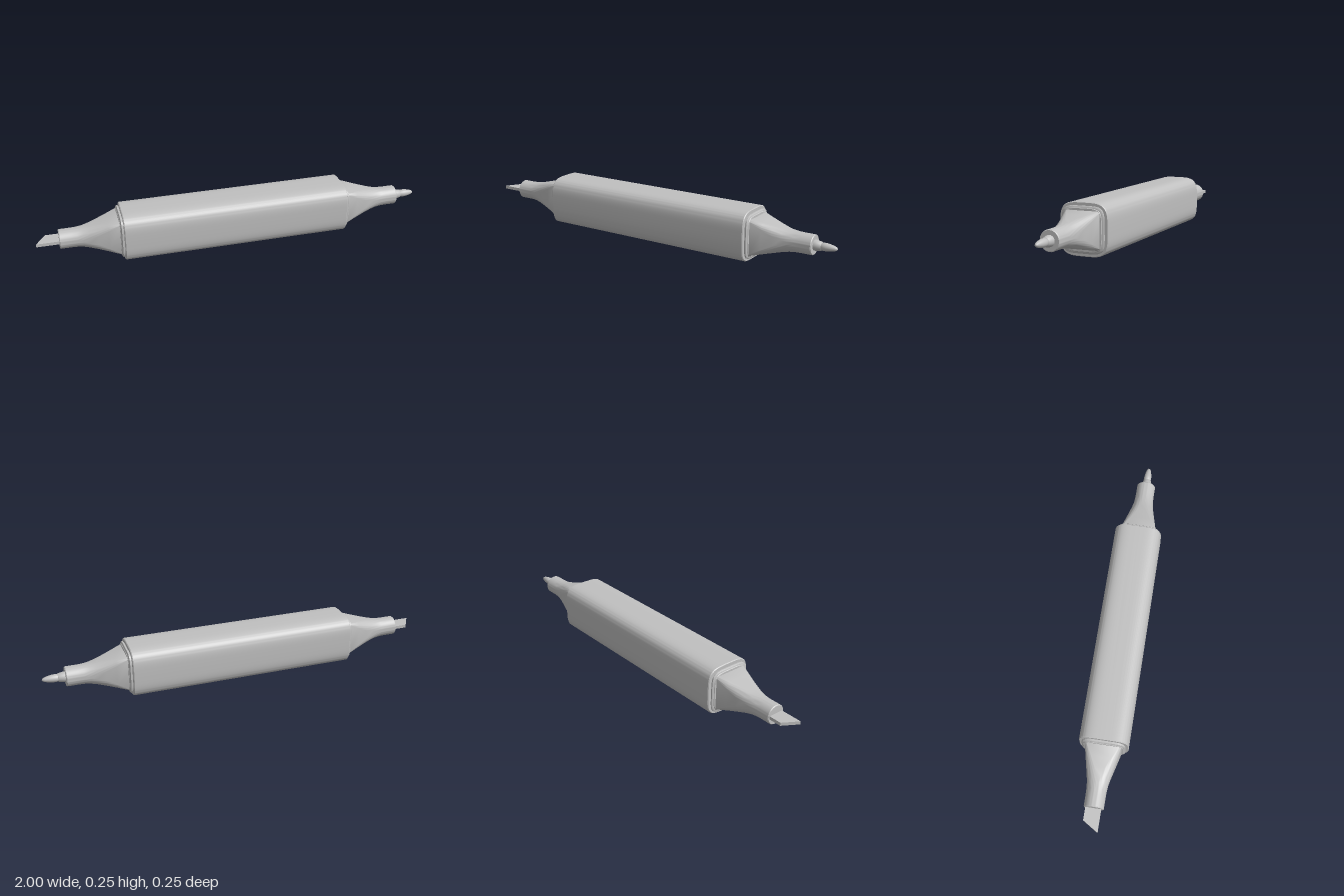
import * as THREE from 'three';
import { toCreasedNormals } from 'three/addons/utils/BufferGeometryUtils.js';

const CENTRE_Y = 0.128;

// Closed [y, z] loops that run anticlockwise about +x
function superellipse(hy, hz, n, count = 72) {
  const pow = v => Math.sign(v) * Math.abs(v) ** (2 / n);
  return Array.from({ length: count }, (_, i) => {
    const t = (i / count) * Math.PI * 2;
    return [hy * pow(Math.cos(t)), hz * pow(Math.sin(t))];
  });
}

function roundedSquare(h, r, perCorner = 12) {
  const loop = [];
  for (let c = 0; c < 4; c++) {
    const mid = Math.PI / 4 + (c * Math.PI) / 2;
    const cy = Math.sign(Math.cos(mid)) * (h - r);
    const cz = Math.sign(Math.sin(mid)) * (h - r);
    for (let k = 0; k <= perCorner; k++) {
      const t = (c + k / perCorner) * Math.PI / 2;
      loop.push([cy + r * Math.cos(t), cz + r * Math.sin(t)]);
    }
  }
  return loop;
}

// Skin over cross-sections along x, closed at both ends
function loft(sections) {
  const pos = [], index = [], n = sections[0].loop.length;
  for (const { x, loop } of sections) for (const [y, z] of loop) pos.push(x, y, z);
  for (let i = 0; i < sections.length - 1; i++) {
    for (let j = 0; j < n; j++) {
      const a = i * n + j, b = i * n + (j + 1) % n;
      index.push(a, b, a + n, b, b + n, a + n);
    }
  }
  const last = sections.length - 1, start = pos.length / 3;
  pos.push(sections[0].x, 0, 0, sections[last].x, 0, 0);
  for (let j = 0; j < n; j++) {
    const k = (j + 1) % n;
    index.push(start, k, j, start + 1, last * n + j, last * n + k);
  }
  const g = new THREE.BufferGeometry();
  g.setAttribute('position', new THREE.Float32BufferAttribute(pos, 3));
  g.setIndex(index);
  return toCreasedNormals(g, 0.6);
}

export function createModel() {
  const group = new THREE.Group();
  const plastic = new THREE.MeshStandardMaterial({ color: 0xc0c0c0 });
  plastic.name = 'grey plastic';

  const add = (parent, name, geometry) => {
    const mesh = new THREE.Mesh(geometry, plastic);
    mesh.name = name;
    parent.add(mesh);
    return mesh;
  };

  const marker = new THREE.Group();
  marker.name = 'marker';
  marker.position.y = CENTRE_Y;
  group.add(marker);

  // Barrel with a tiny rounded edge at each end
  const barrel = [[-0.578, 0.123], [-0.574, 0.126], [0.574, 0.126], [0.578, 0.123]];
  add(marker, 'barrel', loft(barrel.map(([x, h]) => ({ x, loop: superellipse(h, h - 0.003, 4) }))));

  // Stepped collar and tapering neck, the same at both ends
  const collar = [[0.57, 0.105], [0.581, 0.105], [0.582, 0.110], [0.588, 0.110], [0.591, 0.106], [0.592, 0.101], [0.595, 0.099]];
  const neck = [[0.58, 0.089], [0.597, 0.089], [0.65, 0.078], [0.7, 0.067], [0.74, 0.058], [0.77, 0.0525], [0.8, 0.05], [0.83, 0.049], [0.884, 0.049], [0.888, 0.046]];
  for (const side of [1, -1]) {
    const end = new THREE.Group();
    end.name = side > 0 ? 'bulletEnd' : 'chiselEnd';
    if (side < 0) end.rotation.y = Math.PI;
    marker.add(end);
    add(end, 'collar', loft(collar.map(([x, h]) => ({ x, loop: superellipse(h, h - 0.002, 5) }))));
    add(end, 'neck', loft(neck.map(([x, h]) => {
      // corner radius grows until the square becomes a circle
      const t = THREE.MathUtils.clamp((x - 0.597) / 0.2, 0, 1);
      return { x, loop: roundedSquare(h, THREE.MathUtils.lerp(0.016, h * 0.995, t)) };
    })));
  }

  // Bullet nib: short holder and a rounded point
  const holder = [[0.026, 0.88], [0.026, 0.895], [0.021, 0.922], [0.014, 0.924]];
  const point = [[0.014, 0.915], [0.019, 0.928], [0.0195, 0.945], [0.017, 0.965], [0.012, 0.985], [0.007, 0.996], [0, 1]];
  for (const [name, profile] of [['nibHolder', holder], ['bulletNib', point]]) {
    const g = new THREE.LatheGeometry(profile.map(p => new THREE.Vector2(...p)), 32);
    g.rotateZ(-Math.PI / 2);
    add(marker, name, g);
  }

  // Chisel nib: flat plate with a slanted tip
  const outline = [[-1, -0.037], [-0.88, -0.037], [-0.88, 0.04], [-0.952, 0.04]];
  const chisel = new THREE.ExtrudeGeometry(new THREE.Shape(outline.map(p => new THREE.Vector2(...p))), { depth: 0.016, bevelEnabled: false });
  chisel.translate(0, 0, -0.008).rotateX(-Math.PI / 2);
  add(marker, 'chiselNib', chisel);

  return group;
}
